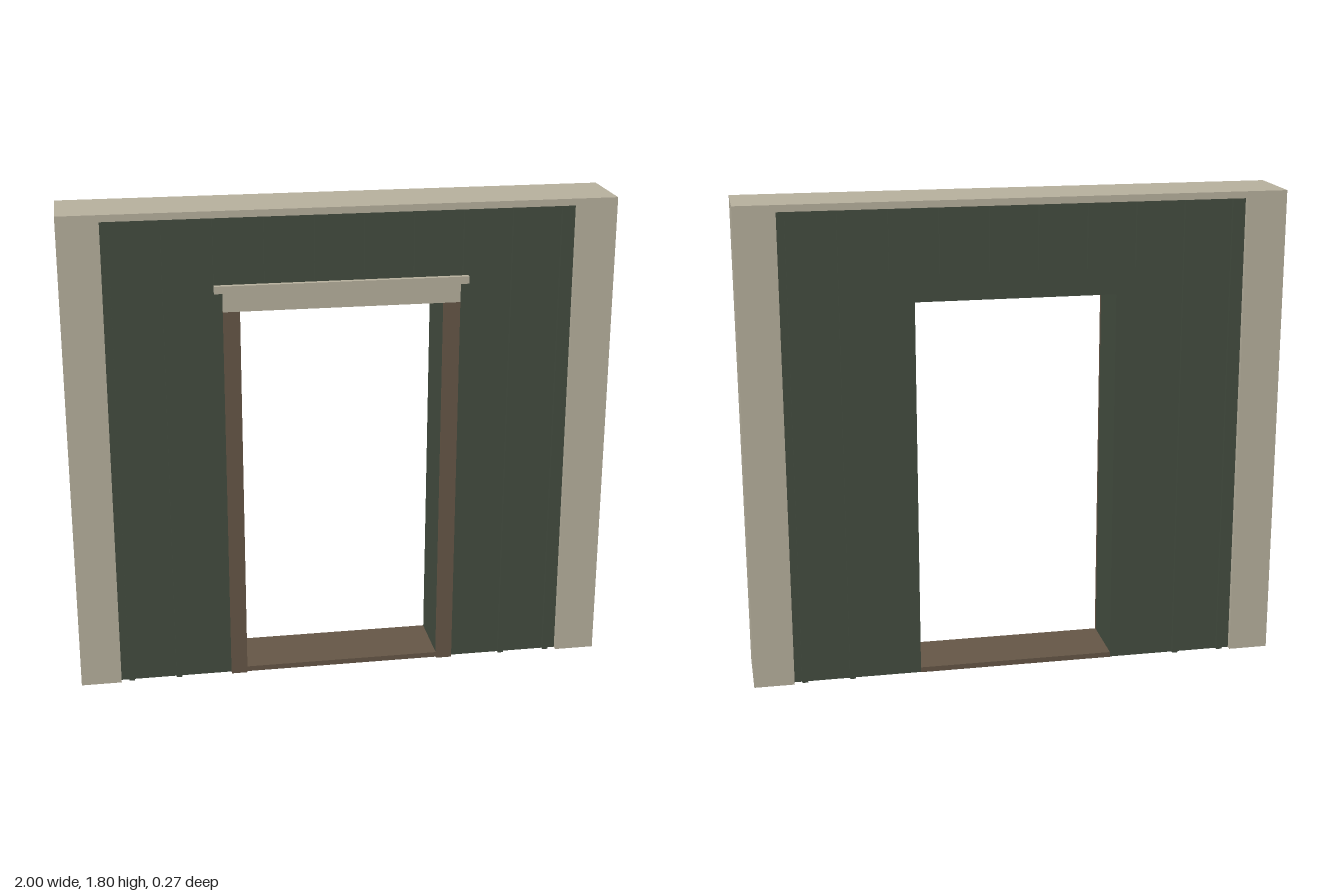
import * as THREE from 'three';

export function createModel() {
  const model = new THREE.Group();
  model.name = 'doorwayWall';

  const mat = (name, color) => {
    const m = new THREE.MeshStandardMaterial({ color });
    m.name = name;
    return m;
  };
  const trim = mat('stone trim', 0xb9b29f);
  const green = mat('dark green siding', 0x444d40);
  const brown = mat('brown timber', 0x665747);

  // Box given by its extents on each axis
  const box = (name, material, [x0, x1], [y0, y1], [z0, z1]) => {
    const mesh = new THREE.Mesh(new THREE.BoxGeometry(x1 - x0, y1 - y0, z1 - z0), material);
    mesh.position.set((x0 + x1) / 2, (y0 + y1) / 2, (z0 + z1) / 2);
    mesh.name = name;
    model.add(mesh);
  };

  const D = 0.133;      // half depth of the posts and cap
  const W = 0.113;      // half depth of the wall
  const TOP = 1.775;    // underside of the cap
  const HALF = 0.37;    // half width of the opening
  const HEAD = 1.435;   // height of the opening

  // Wall panel with the doorway cut out of its lower edge
  const outline = new THREE.Shape([
    [-0.85, 0], [-HALF, 0], [-HALF, HEAD], [HALF, HEAD],
    [HALF, 0], [0.85, 0], [0.85, TOP], [-0.85, TOP],
  ].map(([x, y]) => new THREE.Vector2(x, y)));
  const wall = new THREE.Mesh(
    new THREE.ExtrudeGeometry(outline, { depth: 2 * W, bevelEnabled: false }), green);
  wall.position.z = -W;
  wall.name = 'wallPanel';
  model.add(wall);

  // Cap along the top
  box('topCap', trim, [-1, 1], [TOP, 1.8], [-D, D]);

  for (const s of [-1, 1]) {
    const span = (a, b) => (s > 0 ? [a, b] : [-b, -a]);
    const side = s > 0 ? 'left' : 'right';

    // End posts and front door casings
    box(side + 'Post', trim, span(0.85, 1), [0, TOP], [-D, D]);
    box(side + 'Casing', brown, span(HALF, 0.43), [0, HEAD], [W, 0.129]);

    // Battens on both faces, short ones above the doorway
    for (const x of [0.09, 0.27, 0.45, 0.63, 0.81]) {
      const bottom = x < 0.5 ? 1.535 : 0;
      const bar = span(x - 0.011, x + 0.011);
      box('frontBatten', green, bar, [bottom, TOP], [W, 0.125]);
      box('backBatten', green, bar, [bottom, TOP], [-0.125, -W]);
    }
  }

  // Door header with its projecting drip cap
  box('doorHeader', trim, [-0.43, 0.43], [HEAD, 1.503], [W, 0.13]);
  box('headerCap', trim, [-0.46, 0.46], [1.503, 1.53], [W, D]);

  // Threshold
  box('threshold', brown, [-HALF, HALF], [0, 0.02], [-0.116, 0.12]);

  return model;
}
